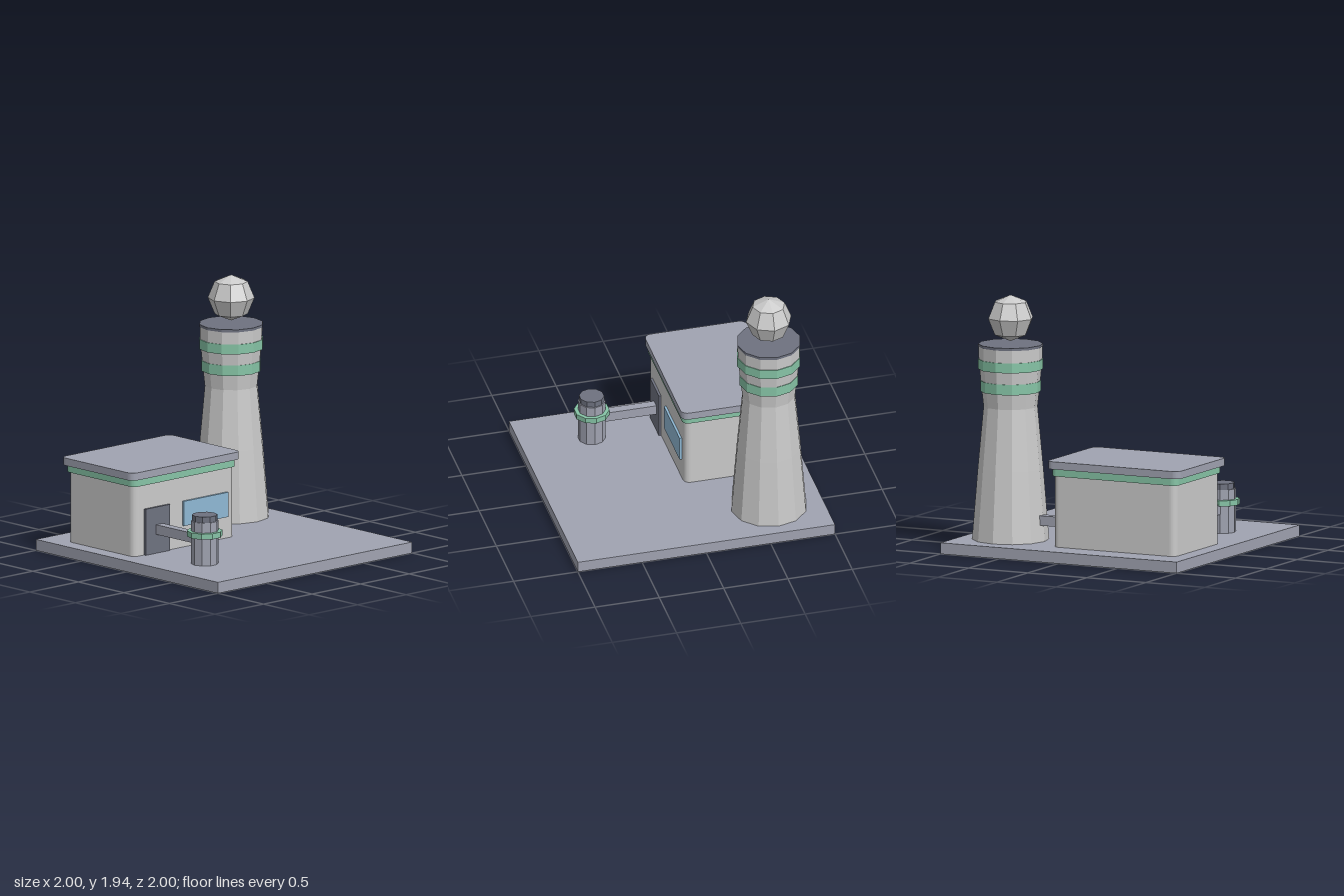
import * as THREE from 'three';

const mat = (name, color) => {
  const m = new THREE.MeshStandardMaterial({ color });
  m.name = name;
  return m;
};

// Hard-edged facets for low-poly parts
const flat = (geometry) => {
  const g = geometry.index ? geometry.toNonIndexed() : geometry;
  g.computeVertexNormals();
  return g;
};

// Upright block with rounded vertical corners, standing on y = 0
function roundedSlab(w, d, h, r) {
  const s = new THREE.Shape();
  const x = w / 2, y = d / 2;
  s.moveTo(-x + r, -y);
  s.lineTo(x - r, -y);
  s.absarc(x - r, -y + r, r, -Math.PI / 2, 0);
  s.lineTo(x, y - r);
  s.absarc(x - r, y - r, r, 0, Math.PI / 2);
  s.lineTo(-x + r, y);
  s.absarc(-x + r, y - r, r, Math.PI / 2, Math.PI);
  s.lineTo(-x, -y + r);
  s.absarc(-x + r, -y + r, r, Math.PI, Math.PI * 1.5);
  const g = new THREE.ExtrudeGeometry(s, { depth: h, bevelEnabled: false, curveSegments: 4 });
  return g.rotateX(-Math.PI / 2);
}

export function createModel() {
  const model = new THREE.Group();
  model.name = 'coolingPlant';

  const slate = mat('slate', 0xa0a3b1);
  const dark = mat('darkSlate', 0x6e7280);
  const wall = mat('paleGrey', 0xcacaca);
  const green = mat('green', 0x86c4a6);
  const glass = mat('glassBlue', 0x8fb8d4);

  const group = (name, x, z) => {
    const g = new THREE.Group();
    g.name = name;
    g.position.set(x, 0, z);
    model.add(g);
    return g;
  };
  const add = (parent, name, geometry, material, y = 0) => {
    const m = new THREE.Mesh(geometry, material);
    m.name = name;
    m.position.y = y;
    parent.add(m);
    return m;
  };
  // Box given by its limits
  const box = (parent, name, material, [x0, x1], [y0, y1], [z0, z1]) => {
    const m = add(parent, name, new THREE.BoxGeometry(x1 - x0, y1 - y0, z1 - z0), material);
    m.position.set((x0 + x1) / 2, (y0 + y1) / 2, (z0 + z1) / 2);
    return m;
  };
  // Faceted drum from y0 to y1
  const drum = (parent, name, material, r, y0, y1, sides, turn = 0) => {
    const g = flat(new THREE.CylinderGeometry(r, r, y1 - y0, sides).rotateY(turn));
    return add(parent, name, g, material, (y0 + y1) / 2);
  };

  box(model, 'basePlate', slate, [-1, 1], [0, 0.085], [-1, 1]);

  // Cooling tower with two bands, lid and steam ball
  const tower = group('coolingTower', 0.622, -0.585);
  const profile = [[0.29, 0.085], [0.246, 0.63], [0.203, 1.095], [0.217, 1.22], [0.239, 1.44], [0.241, 1.55]]
    .map(([r, y]) => new THREE.Vector2(r, y));
  add(tower, 'towerShell', flat(new THREE.LatheGeometry(profile, 12)), wall);
  drum(tower, 'lowerBand', green, 0.228, 1.21, 1.29, 12);
  drum(tower, 'upperBand', green, 0.245, 1.38, 1.455, 12);
  drum(tower, 'towerLid', dark, 0.244, 1.55, 1.57, 12);
  add(tower, 'steamBall', flat(new THREE.SphereGeometry(0.176, 8, 4)), wall, 1.765);

  // Main building
  const house = group('building', -0.357, -0.42);
  add(house, 'walls', roundedSlab(1.035, 0.73, 0.595, 0.05), wall, 0.085);
  add(house, 'trimBand', roundedSlab(1.065, 0.758, 0.055, 0.05), green, 0.625);
  add(house, 'roof', roundedSlab(1.122, 0.79, 0.058, 0.055), slate, 0.68);
  box(model, 'door', dark, [-0.77, -0.52], [0.085, 0.44], [-0.06, -0.037]);
  box(model, 'window', glass, [-0.375, 0.08], [0.25, 0.44], [-0.06, -0.037]);

  // Small tank in front
  const tank = group('tank', -0.627, 0.457);
  const turn = Math.PI / 2;
  drum(tank, 'tankBody', slate, 0.104, 0.085, 0.415, 10, turn);
  drum(tank, 'tankBand', green, 0.134, 0.295, 0.338, 10, turn);
  drum(tank, 'tankCap', dark, 0.095, 0.415, 0.46, 10, turn);

  // Ducts joining the parts
  box(model, 'tankDuct', slate, [-0.663, -0.594], [0.23, 0.305], [-0.06, 0.38]);
  box(model, 'towerDuct', slate, [0.15, 0.38], [0.21, 0.285], [-0.622, -0.553]);

  return model;
}
